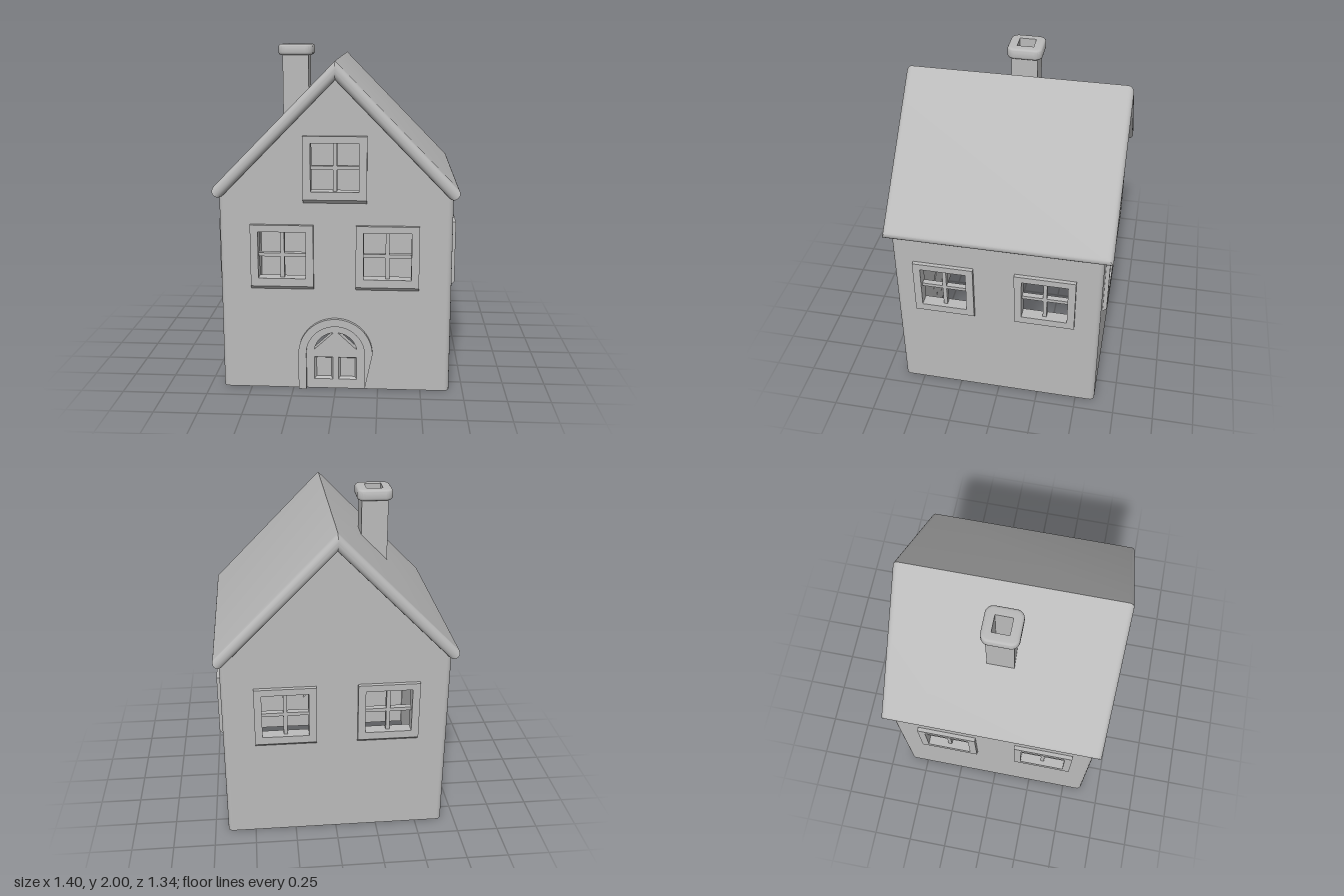
import * as THREE from 'three';
import { toCreasedNormals } from 'three/addons/utils/BufferGeometryUtils.js';

const plaster = new THREE.MeshStandardMaterial({ color: 0xbababa });
plaster.name = 'light grey';

const WALL = 0.05;                    // wall thickness
const RIDGE = 1.928, SLOPE = 1.02, ROOF = 0.073;
const CHIMNEY_X = -0.28;

function add(parent, name, geometry, x = 0, y = 0, z = 0) {
  const mesh = new THREE.Mesh(geometry, plaster);
  mesh.name = name;
  mesh.position.set(x, y, z);
  parent.add(mesh);
  return mesh;
}

// Rectangle outline as a shape or a hole
function rect(x0, y0, x1, y1, Type = THREE.Shape) {
  return new Type().moveTo(x0, y0).lineTo(x1, y0).lineTo(x1, y1).lineTo(x0, y1).closePath();
}

function extrude(shape, depth, options = {}) {
  return new THREE.ExtrudeGeometry(shape, { depth, bevelEnabled: false, curveSegments: 16, ...options });
}

// Moves every vertex by a rule, then refreshes the normals
function reshape(geometry, rule, crease = 0.6) {
  const p = geometry.attributes.position, v = new THREE.Vector3();
  for (let i = 0; i < p.count; i++) {
    rule(v.fromBufferAttribute(p, i));
    p.setXYZ(i, v.x, v.y, v.z);
  }
  return toCreasedNormals(geometry, crease);
}

// Window: raised surround with a chamfered sill, and crossing bars in the opening
const W = 0.1375, Y0 = 0.684, Y1 = 0.96;
function addWindow(wall, x, lift) {
  const win = new THREE.Group();
  win.name = 'window';
  win.position.set(x, lift, 0);
  const surround = rect(-0.182, 0.615, 0.182, 1.0);
  surround.holes.push(rect(-W, Y0, W, Y1, THREE.Path));
  add(win, 'windowSurround', reshape(extrude(surround, 0.024), v => {
    if (v.z > 0.01 && v.y < 0.63) v.y += 0.022;
  }, 0.2));
  add(win, 'verticalBar', new THREE.BoxGeometry(0.023, Y1 - Y0, 0.035), 0, (Y0 + Y1) / 2, -0.0225);
  add(win, 'horizontalBar', new THREE.BoxGeometry(W * 2, 0.021, 0.034), 0, 0.818, -0.0225);
  wall.add(win);
}

// Wall whose outer face lies on local z = 0; windows are [x, lift] pairs
function makeWall(name, outline, windows, turn, x, z, rule = () => {}) {
  const wall = new THREE.Group();
  wall.name = name;
  for (const [wx, lift] of windows) {
    outline.holes.push(rect(wx - W, Y0 + lift, wx + W, Y1 + lift, THREE.Path));
    addWindow(wall, wx, lift);
  }
  const geometry = extrude(outline, WALL).translate(0, 0, -WALL);
  add(wall, name + 'Panel', reshape(geometry, rule, 0.2));
  wall.rotation.y = turn;
  wall.position.set(x, 0, z);
  return wall;
}

function gableOutline() {
  return new THREE.Shape().moveTo(-0.64, 0).lineTo(0.64, 0).lineTo(0.64, 1.2)
    .lineTo(0, 1.86).lineTo(-0.64, 1.2).closePath();
}

// Arched doorway: surround, two fanlight openings and two sunken panels
function cutDoor(outline) {
  const r = 0.127, cy = 0.222, a = Math.asin(0.022 / r), b = Math.acos(0.013 / r);
  const right = new THREE.Path().moveTo(0.013, 0.244).absarc(0, cy, r, a, b, false).closePath();
  const left = new THREE.Path().moveTo(-0.013, 0.244)
    .absarc(0, cy, r, Math.PI - a, Math.PI - b, true).closePath();
  outline.holes.push(right, left);
  for (const s of [-1, 1]) outline.holes.push(rect(s * 0.016, 0.058, s * 0.125, 0.196, THREE.Path));
}

// Narrows the back of the panel holes so that their sides slope
function slopePanels(v) {
  const ax = Math.abs(v.x);
  if (v.z < -0.01 && ax > 0.015 && ax < 0.1255 && v.y > 0.05 && v.y < 0.2) {
    v.x = Math.sign(v.x) * (0.0705 + (ax - 0.0705) * 0.5);
    v.y = 0.127 + (v.y - 0.127) * 0.62;
  }
}

function addDoor(wall) {
  const surround = new THREE.Shape().moveTo(0.218, 0).absarc(0, 0.222, 0.218, 0, Math.PI, false)
    .lineTo(-0.218, 0).lineTo(-0.172, 0).absarc(0, 0.222, 0.172, Math.PI, 0, true)
    .lineTo(0.172, 0).closePath();
  add(wall, 'doorSurround', toCreasedNormals(extrude(surround, 0.023), 0.4));
  for (const s of [-1, 1])
    add(wall, 'doorPanel', new THREE.BoxGeometry(0.1, 0.13, 0.028), s * 0.0705, 0.127, -0.034);
}

// One roof slope: rounded slab, mitred at the ridge, with an optional chimney hole
function roofSlope(side, hole) {
  const angle = Math.atan(SLOPE), c = Math.cos(angle), s = Math.sin(angle);
  const b = 0.034, depth = ROOF - 2 * b, uc = (0.28 + s * ROOF / 2) / c;
  const shape = rect(-0.05, -0.67 + b, 0.988, 0.67 - b);
  if (hole) shape.holes.push(rect(uc - 0.09, -0.09, uc + 0.09, 0.09, THREE.Path));
  const geometry = extrude(shape, depth,
    { bevelEnabled: true, bevelThickness: b, bevelSize: b, bevelSegments: 6 });
  return reshape(geometry, p => {
    let u = p.x, v = p.y;
    const w = p.z - depth - b;
    if (c * u + s * w < 0) u = -w * s / c;
    if (hole && Math.abs(u - uc) < 0.2 && Math.abs(v) < 0.2) {
      u = (0.28 + Math.sign(u - uc) * 0.055 - s * w) / c;
      v = Math.sign(v) * 0.055;
    }
    p.set(side * (c * u + s * w), RIDGE - s * u + c * w, -side * v);
  });
}

function addChimney(house) {
  const chimney = new THREE.Group();
  chimney.name = 'chimney';
  chimney.position.x = CHIMNEY_X;
  // Hollow shaft, its foot cut to the roof slope
  const ring = rect(-0.08, -0.08, 0.08, 0.08);
  ring.holes.push(rect(-0.05, -0.05, 0.05, 0.05, THREE.Path));
  add(chimney, 'chimneyShaft', reshape(extrude(ring, 1.95).rotateX(-Math.PI / 2), v => {
    if (v.y < 1) v.y = RIDGE - SLOPE * Math.abs(v.x + CHIMNEY_X) - 0.05;
  }, 0.2));
  // Rounded cap
  const b = 0.018, h = 0.107 - b, r = 0.03;
  const cap = new THREE.Shape();
  [[1, 1], [-1, 1], [-1, -1], [1, -1]].forEach(([sx, sy], i) =>
    cap.absarc(sx * (h - r), sy * (h - r), r, i * Math.PI / 2, (i + 1) * Math.PI / 2, false));
  cap.closePath();
  cap.holes.push(rect(-0.068, -0.068, 0.068, 0.068, THREE.Path));
  const geometry = extrude(cap, 0.066 - 2 * b,
    { bevelEnabled: true, bevelThickness: b, bevelSize: b, bevelSegments: 4, curveSegments: 6 });
  geometry.rotateX(-Math.PI / 2).translate(0, 1.934 + b, 0);
  add(chimney, 'chimneyCap', reshape(geometry, v => {
    if (Math.max(Math.abs(v.x), Math.abs(v.z)) < 0.0695) {
      v.x = Math.sign(v.x) * 0.05;
      v.z = Math.sign(v.z) * 0.05;
    }
  }));
  house.add(chimney);
}

export function createModel() {
  const house = new THREE.Group();
  house.name = 'house';

  // Gable walls
  const frontOutline = gableOutline();
  cutDoor(frontOutline);
  const front = makeWall('frontWall', frontOutline,
    [[-0.308, 0], [0.3, 0], [-0.002, 0.513]], 0, 0, 0.628, slopePanels);
  addDoor(front);
  house.add(front);
  house.add(makeWall('backWall', gableOutline(), [[-0.3, 0], [0.308, 0]], Math.PI, 0, -0.62));

  // Side walls
  for (const s of [-1, 1]) {
    house.add(makeWall(s > 0 ? 'leftWall' : 'rightWall', rect(-0.594, 0, 0.594, 1.19),
      [[-s * 0.3195, 0], [s * 0.291, 0]], s * Math.PI / 2, s * 0.67, 0.004));
    // Rounded corners
    for (const z of [0.598, -0.59])
      add(house, 'wallCorner', new THREE.CylinderGeometry(0.03, 0.03, 1.19, 24), s * 0.64, 0.595, z);
    add(house, s > 0 ? 'leftRoof' : 'rightRoof', roofSlope(s, s < 0));
  }

  addChimney(house);
  return house;
}
